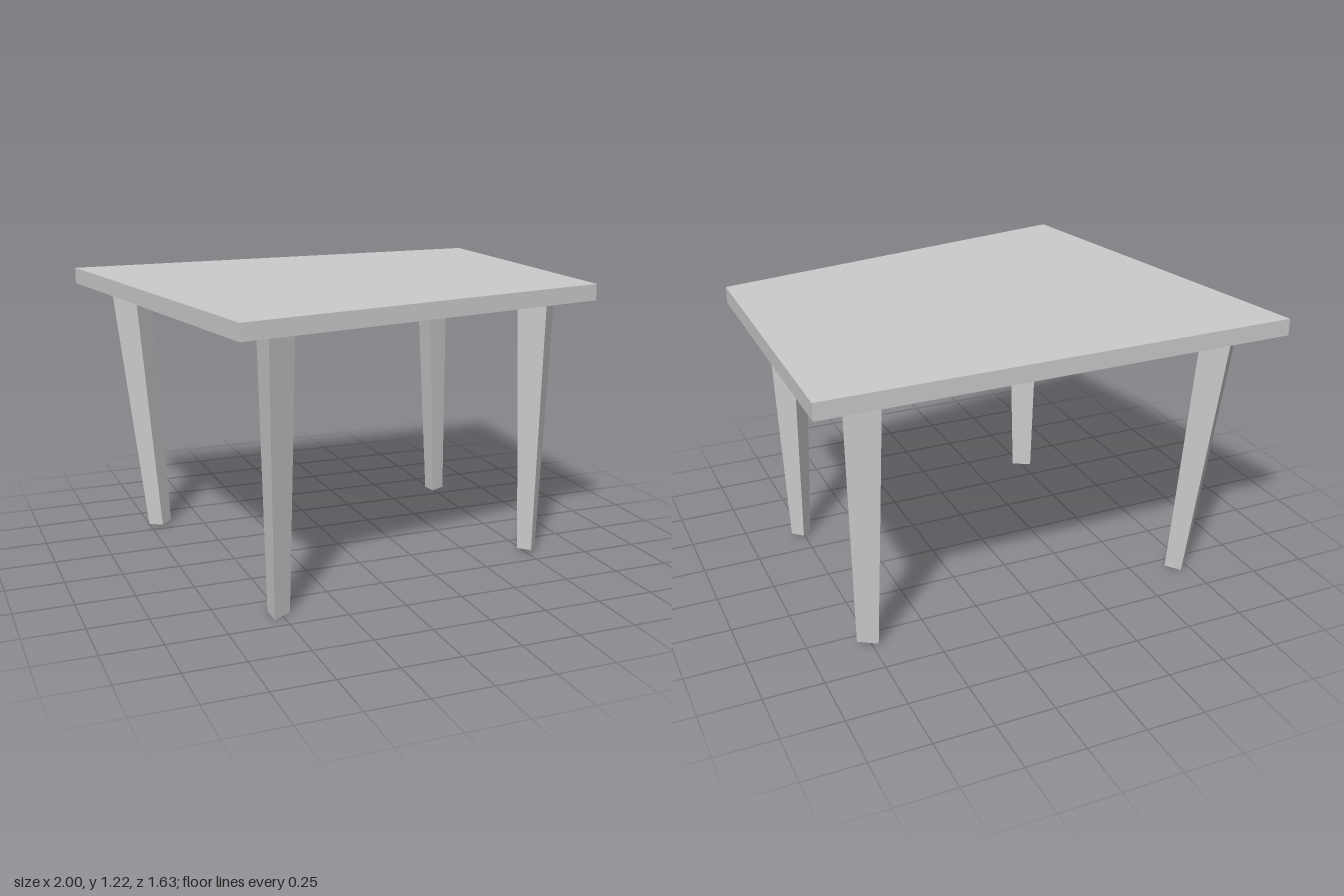
import * as THREE from 'three';

const material = new THREE.MeshStandardMaterial({ color: 0xcccccc, flatShading: true });
const UNDERSIDE = 1.154;
const THICKNESS = 0.071;

// Irregular four-cornered slab, outlined in [x, z]
function makeTop() {
  const corners = [[-0.7, 0.815], [0.985, 0.505], [1, -0.817], [-1, -0.805]];
  const shape = new THREE.Shape(corners.map(([x, z]) => new THREE.Vector2(x, -z)));
  const geometry = new THREE.ExtrudeGeometry(shape, { depth: THICKNESS, bevelEnabled: false });
  geometry.rotateX(-Math.PI / 2).translate(0, UNDERSIDE, 0);
  const mesh = new THREE.Mesh(geometry, material);
  mesh.name = 'tableTop';
  return mesh;
}

// Tapered prism leg leaning from its foot to the slab, one edge facing +x
function makeLeg({ name, sides, foot, head, footRadius, headRadius }) {
  const bottom = new THREE.Vector3(...foot);
  const top = new THREE.Vector3(head[0], UNDERSIDE + 0.015, head[1]);
  const axis = top.clone().sub(bottom);
  const geometry = new THREE.CylinderGeometry(
    headRadius, footRadius, axis.length(), sides, 1, false, Math.PI / 2);
  const mesh = new THREE.Mesh(geometry, material);
  mesh.name = name;
  mesh.position.copy(bottom).add(top).multiplyScalar(0.5);
  mesh.quaternion.setFromUnitVectors(new THREE.Vector3(0, 1, 0), axis.normalize());
  return mesh;
}

// Two three-sided and two four-sided legs on opposite corners
const legs = [
  { name: 'frontRightLeg', sides: 3, foot: [-0.516, 0.004, 0.644], head: [-0.517, 0.645], footRadius: 0.053, headRadius: 0.088 },
  { name: 'frontLeftLeg', sides: 4, foot: [0.762, 0.02, 0.386], head: [0.761, 0.385], footRadius: 0.045, headRadius: 0.091 },
  { name: 'backLeftLeg', sides: 3, foot: [0.752, 0.014, -0.555], head: [0.753, -0.636], footRadius: 0.052, headRadius: 0.087 },
  { name: 'backRightLeg', sides: 4, foot: [-0.7, 0.014, -0.567], head: [-0.779, -0.646], footRadius: 0.053, headRadius: 0.089 },
];

export function createModel() {
  const table = new THREE.Group();
  table.name = 'table';
  table.add(makeTop(), ...legs.map(makeLeg));
  return table;
}
